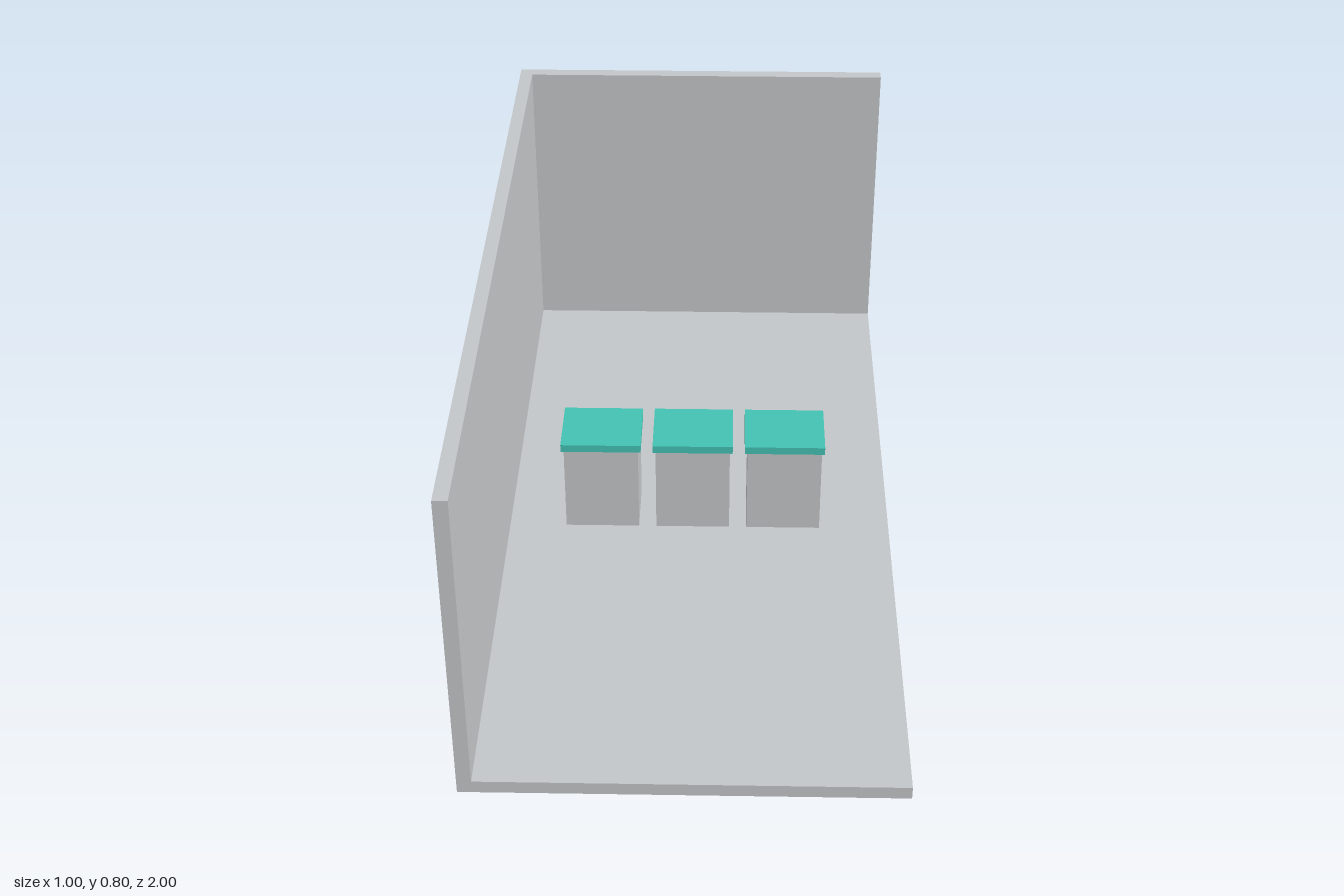
import * as THREE from 'three';

export function createModel() {
  const model = new THREE.Group();
  model.name = 'cornerRoomWithCabinets';

  const grey = new THREE.MeshStandardMaterial({ color: 0xc3c6c8 });
  grey.name = 'lightGrey';
  const teal = new THREE.MeshStandardMaterial({ color: 0x43c2b3 });
  teal.name = 'teal';

  // Box given by its lower and upper corners
  function box(name, material, [x0, y0, z0], [x1, y1, z1], parent = model) {
    const mesh = new THREE.Mesh(new THREE.BoxGeometry(x1 - x0, y1 - y0, z1 - z0), material);
    mesh.position.set((x0 + x1) / 2, (y0 + y1) / 2, (z0 + z1) / 2);
    mesh.name = name;
    parent.add(mesh);
  }

  // Room shell: floor, side wall and back wall
  const t = 0.033, floorTop = 0.032, height = 0.8;
  box('floor', grey, [-0.5, 0, -1], [0.5, floorTop, 1]);
  box('sideWall', grey, [-0.5, floorTop, -1], [-0.5 + t, height, 1]);
  box('backWall', grey, [-0.5 + t, floorTop, -1], [0.5, height, -1 + t]);

  // Row of three cabinets with overhanging tops
  for (let i = -1; i <= 1; i++) {
    const cabinet = new THREE.Group();
    cabinet.name = 'cabinet' + (i + 2);
    cabinet.position.x = i * 0.23;
    box('cabinetBody', grey, [-0.093, floorTop, -0.077], [0.093, 0.266, 0.077], cabinet);
    box('cabinetTop', teal, [-0.1, 0.266, -0.083], [0.1, 0.286, 0.083], cabinet);
    model.add(cabinet);
  }

  return model;
}
